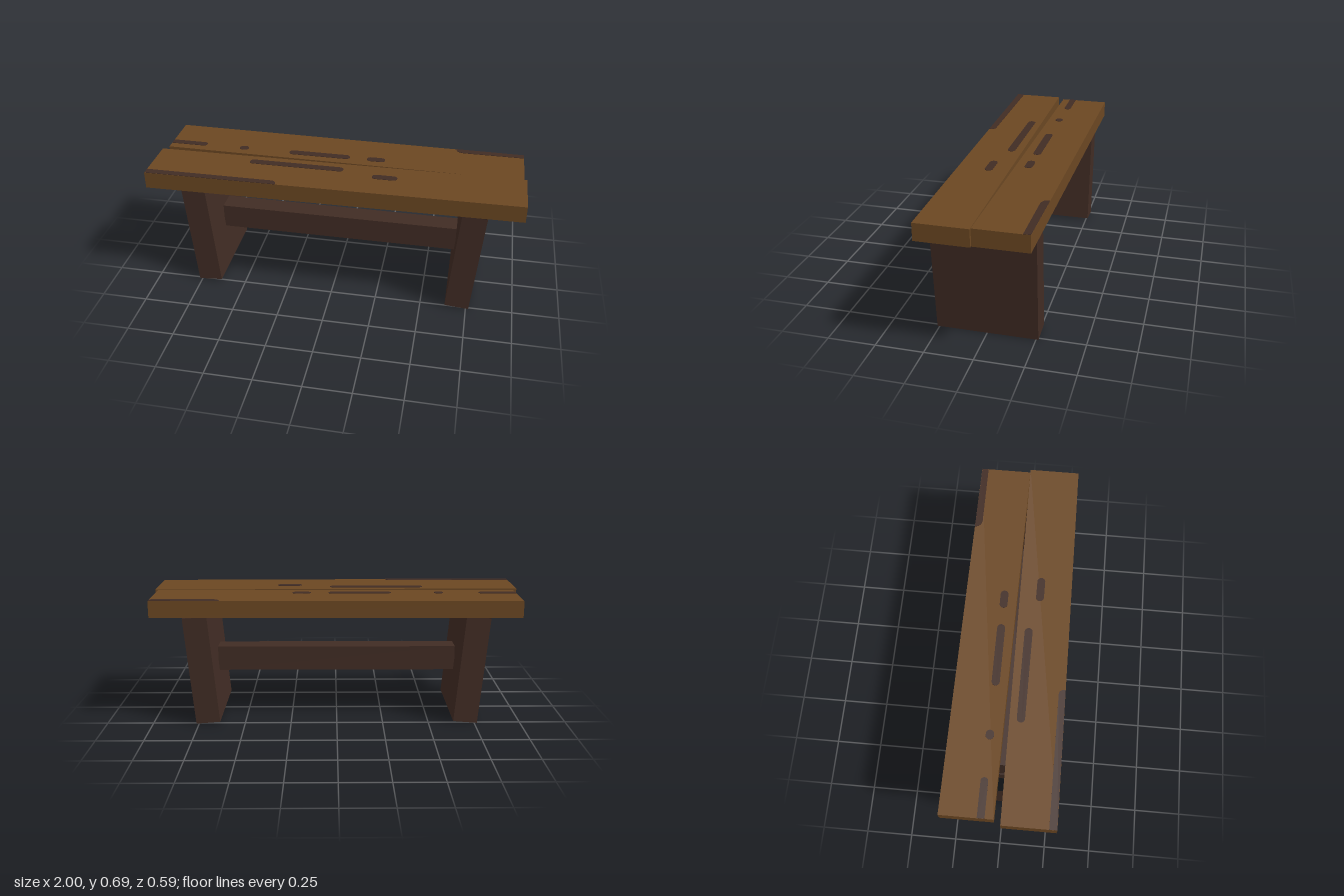
import * as THREE from 'three';

const wood = new THREE.MeshStandardMaterial({ color: 0x6b4722, side: THREE.DoubleSide });
wood.name = 'warmWood';
const dark = new THREE.MeshStandardMaterial({ color: 0x412c24, side: THREE.DoubleSide });
dark.name = 'darkWood';

// Box without some sides; side order: 0 +x, 1 -x, 2 +y, 3 -y, 4 +z, 5 -z
function openBox(w, h, d, omit) {
  const g = new THREE.BoxGeometry(w, h, d);
  const kept = [];
  for (let side = 0; side < 6; side++) {
    if (omit.includes(side)) continue;
    for (let i = 0; i < 6; i++) kept.push(g.index.getX(side * 6 + i));
  }
  g.setIndex(kept);
  g.clearGroups();
  return g;
}

function addMesh(parent, name, geometry, material) {
  const m = new THREE.Mesh(geometry, material);
  m.name = name;
  parent.add(m);
  return m;
}

// Slightly skewed plank, open underneath; a and b give the back and front z at each end
function plankGeometry(x0, x1, y0, y1, a, b) {
  const g = openBox(1, 1, 1, [3]);
  const p = g.attributes.position;
  for (let i = 0; i < p.count; i++) {
    const end = p.getX(i) > 0 ? b : a;
    p.setXYZ(i, p.getX(i) > 0 ? x1 : x0, p.getY(i) > 0 ? y1 : y0, p.getZ(i) > 0 ? end[1] : end[0]);
  }
  g.computeVertexNormals();
  return g;
}

// Thin plate lying on a plank top, visible from above and from inside
function plate(shape, top) {
  const g = new THREE.ExtrudeGeometry(shape, { depth: 0.004, bevelEnabled: false, curveSegments: 6 });
  g.rotateX(Math.PI / 2);
  g.translate(0, top + 0.002, 0);
  return g;
}

// Rounded streak of worn wood
function streak(x0, x1, z, r = 0.021) {
  const s = new THREE.Shape();
  s.absarc(x1 - r, z, r, -Math.PI / 2, Math.PI / 2, false);
  s.absarc(x0 + r, z, r, Math.PI / 2, Math.PI * 1.5, false);
  s.closePath();
  return s;
}

export function createModel() {
  const bench = new THREE.Group();
  bench.name = 'bench';
  const frontTop = 0.691, backTop = 0.688;

  // Seat planks
  addMesh(bench, 'frontPlank', plankGeometry(-1, 1, 0.6, frontTop, [0.014, 0.291], [-0.002, 0.27]), wood);
  addMesh(bench, 'backPlank', plankGeometry(-0.975, 0.985, 0.598, backTop, [-0.021, -0.294], [-0.002, -0.276]
    ).clone(), wood).visible = true;
  const back = bench.getObjectByName('backPlank');
  back.geometry = plankGeometry(-0.975, 0.985, 0.598, backTop, [-0.294, -0.021], [-0.276, -0.002]);

  // Worn streaks on the planks
  const streaks = [
    [-0.58, -0.53, -0.08, backTop], [-0.295, 0.045, -0.078, backTop], [0.14, 0.24, -0.078, backTop],
    [-0.48, 0.035, 0.068, frontTop], [0.195, 0.33, 0.112, frontTop],
  ];
  for (const [x0, x1, z, top] of streaks) addMesh(bench, 'wornStreak', plate(streak(x0, x1, z), top), dark);

  // Streak running out at the end of the back plank
  const endStreak = new THREE.Shape();
  endStreak.moveTo(-0.974, -0.103);
  endStreak.lineTo(-0.79, -0.103);
  endStreak.absarc(-0.791, -0.084, 0.019, -Math.PI / 2, Math.PI / 2, false);
  endStreak.lineTo(-0.974, -0.065);
  addMesh(bench, 'endStreak', plate(endStreak, backTop), dark);

  // Worn edges, front and back
  const frontEdge = new THREE.Shape();
  frontEdge.moveTo(-0.999, 0.29);
  frontEdge.lineTo(-0.999, 0.251);
  frontEdge.lineTo(-0.315, 0.249);
  frontEdge.quadraticCurveTo(-0.288, 0.251, -0.288, 0.283);
  addMesh(bench, 'frontWornEdge', plate(frontEdge, frontTop), dark);
  const backEdge = new THREE.Shape();
  backEdge.moveTo(0.984, -0.275);
  backEdge.lineTo(0.984, -0.24);
  backEdge.lineTo(0.655, -0.24);
  backEdge.quadraticCurveTo(0.615, -0.244, 0.613, -0.279);
  addMesh(bench, 'backWornEdge', plate(backEdge, backTop), dark);

  // Leaning slab legs, open at top and bottom
  for (const side of [-1, 1]) {
    const leg = addMesh(bench, side > 0 ? 'leftLeg' : 'rightLeg', openBox(0.13, 0.59, 0.524, [2, 3]), dark);
    leg.position.set(side * 0.725, 0.3, 0);
    leg.rotation.z = -side * 0.085;
  }

  // Stretcher between the legs
  addMesh(bench, 'stretcher', openBox(1.32, 0.135, 0.11, [0, 1]), dark).position.y = 0.31;
  return bench;
}
